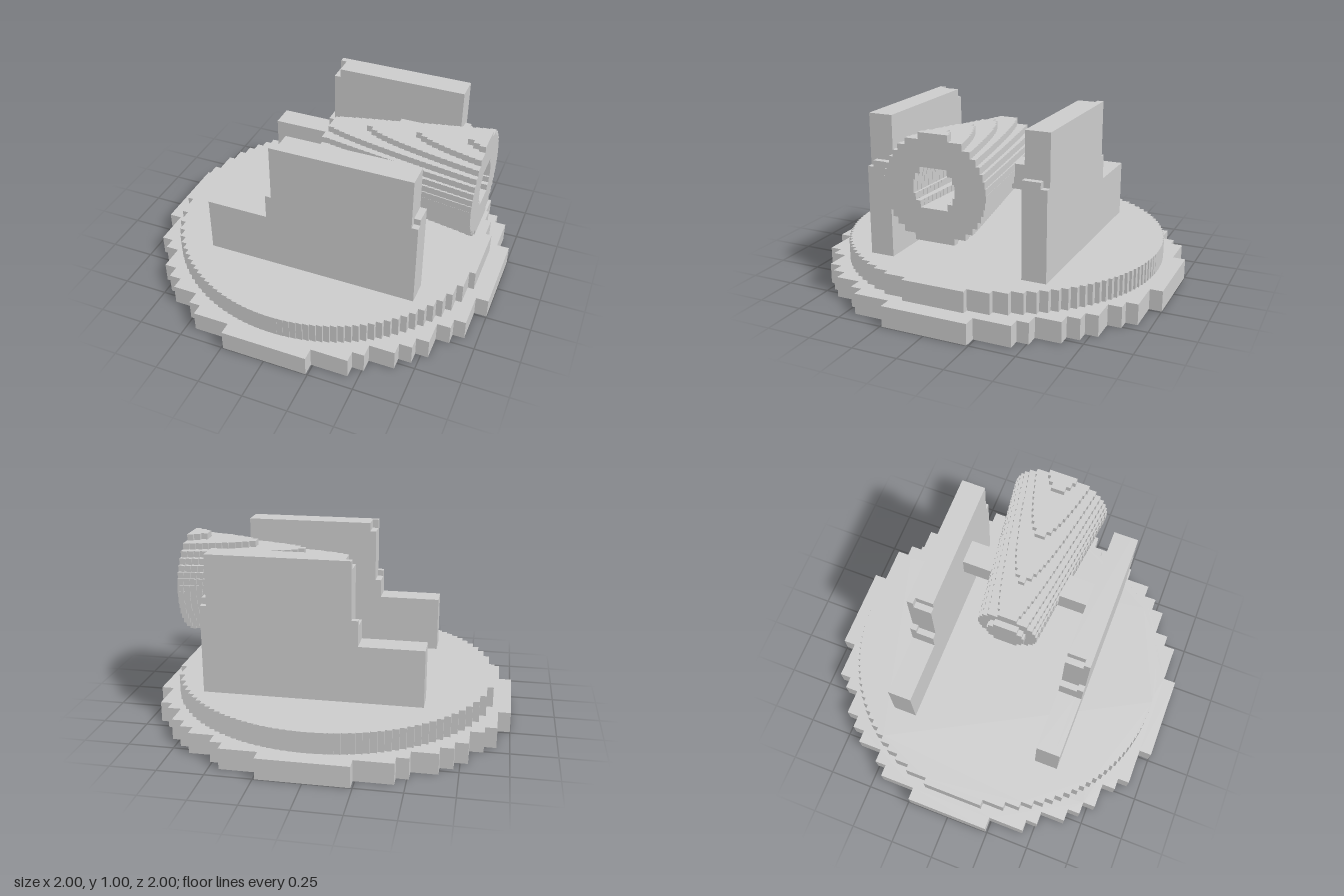
import * as THREE from 'three';
import { mergeGeometries } from 'three/addons/utils/BufferGeometryUtils.js';

const CELL = 0.0345;
const AXIS_Y = 0.72;
const material = new THREE.MeshStandardMaterial({ color: 0xcccccc, flatShading: true });

const add = (group, name, geometry) => {
  const mesh = new THREE.Mesh(geometry, material);
  mesh.name = name;
  group.add(mesh);
  return mesh;
};

const extrude = (shape, depth) =>
  new THREE.ExtrudeGeometry(shape, { depth, bevelEnabled: false });

const toPoints = (list) => list.map(([x, y]) => new THREE.Vector2(x, y));

// Outline of a circle cut into flat rows; up and down set where in each row the width is taken
function steppedCircle(r, cell, up = 0.5, down = 0.5) {
  const right = [];
  const half = Math.ceil(r / cell) + 1;
  for (let i = -half; i < half; i++) {
    const v = i >= 0 ? (i + up) * cell : (-i - 1 + down) * cell;
    if (v >= r) continue;
    const w = Math.sqrt(r * r - v * v);
    right.push([w, i * cell], [w, (i + 1) * cell]);
  }
  const left = right.map(([x, y]) => [-x, y]).reverse();
  return toPoints([...right, ...left]);
}

// Lower plate with coarse steps, the same in all four quadrants
function basePlate() {
  const steps = [[1, 0.24], [0.93, 0.445], [0.865, 0.51], [0.79, 0.65], [0.72, 0.72],
    [0.65, 0.79], [0.51, 0.865], [0.445, 0.93], [0.24, 1]];
  const quarter = [];
  steps.forEach(([x, y], i) => {
    if (i > 0) quarter.push([x, steps[i - 1][1]]);
    quarter.push([x, y]);
  });
  const upper = [...quarter, ...quarter.map(([x, y]) => [-x, y]).reverse()];
  const outline = [...upper, ...upper.map(([x, y]) => [-x, -y])];
  return extrude(new THREE.Shape(toPoints(outline)), 0.115).rotateX(-Math.PI / 2);
}

// Stepped side wall, made of an outer skin and a thicker inner layer with chipped corners
function cheek(side) {
  const group = new THREE.Group();
  const outer = [[-0.545, 0.23], [0.65, 0.23], [0.65, 0.72], [0.615, 0.72], [0.615, 1],
    [-0.16, 1], [-0.16, 0.685], [-0.195, 0.685], [-0.195, 0.545], [-0.545, 0.545]];
  const inner = [[-0.545, 0.23], [0.65, 0.23], [0.65, 0.755], [0.615, 0.755], [0.615, 1],
    [-0.125, 1], [-0.125, 0.95], [-0.16, 0.95], [-0.16, 0.65], [-0.195, 0.65],
    [-0.195, 0.545], [-0.545, 0.545]];
  const layer = (name, points, near, far) => {
    const mesh = add(group, name, extrude(new THREE.Shape(toPoints(points)), far - near));
    mesh.position.z = side > 0 ? near : -far;
  };
  layer('cheekInnerLayer', inner, 0.375, 0.475);
  layer('cheekOuterLayer', outer, 0.475, 0.51);
  return group;
}

// Tapered barrel built from thin slices, bored from the muzzle
function barrel() {
  const start = -0.02, end = 0.855, count = 25;
  const step = (end - start) / count;
  const slices = [];
  for (let i = 0; i < count; i++) {
    const t = (i + 0.5) / count;
    const shape = new THREE.Shape(steppedCircle(0.172 + 0.111 * t, CELL, 0.8, 0.5));
    if (i > 1) {
      const bore = steppedCircle(0.075 + 0.04 * t, CELL).reverse();
      shape.holes.push(new THREE.Path(bore));
    }
    slices.push(extrude(shape, step).rotateY(Math.PI / 2).translate(start + i * step, AXIS_Y, 0));
  }
  return mergeGeometries(slices);
}

export function createModel() {
  const model = new THREE.Group();
  model.name = 'mortar';

  // Round base
  add(model, 'basePlate', basePlate());
  const disc = extrude(new THREE.Shape(steppedCircle(0.9, 0.9 / 26)), 0.115);
  add(model, 'turntable', disc.rotateX(-Math.PI / 2).rotateY(Math.PI / 2).translate(0, 0.115, 0));

  // Side walls and the pivot stubs between them and the barrel
  for (const side of [1, -1]) {
    const wall = cheek(side);
    wall.name = side > 0 ? 'frontCheek' : 'backCheek';
    model.add(wall);
    add(model, 'pivot', new THREE.BoxGeometry(0.14, 0.135, 0.2))
      .position.set(0.33, 0.688, side * 0.28);
  }

  // Barrel and its closed rear end
  add(model, 'barrel', barrel());
  const cap = extrude(new THREE.Shape(steppedCircle(0.11, CELL)), 0.035);
  add(model, 'breechCap', cap.rotateY(Math.PI / 2).translate(-0.055, AXIS_Y, 0));

  return model;
}
